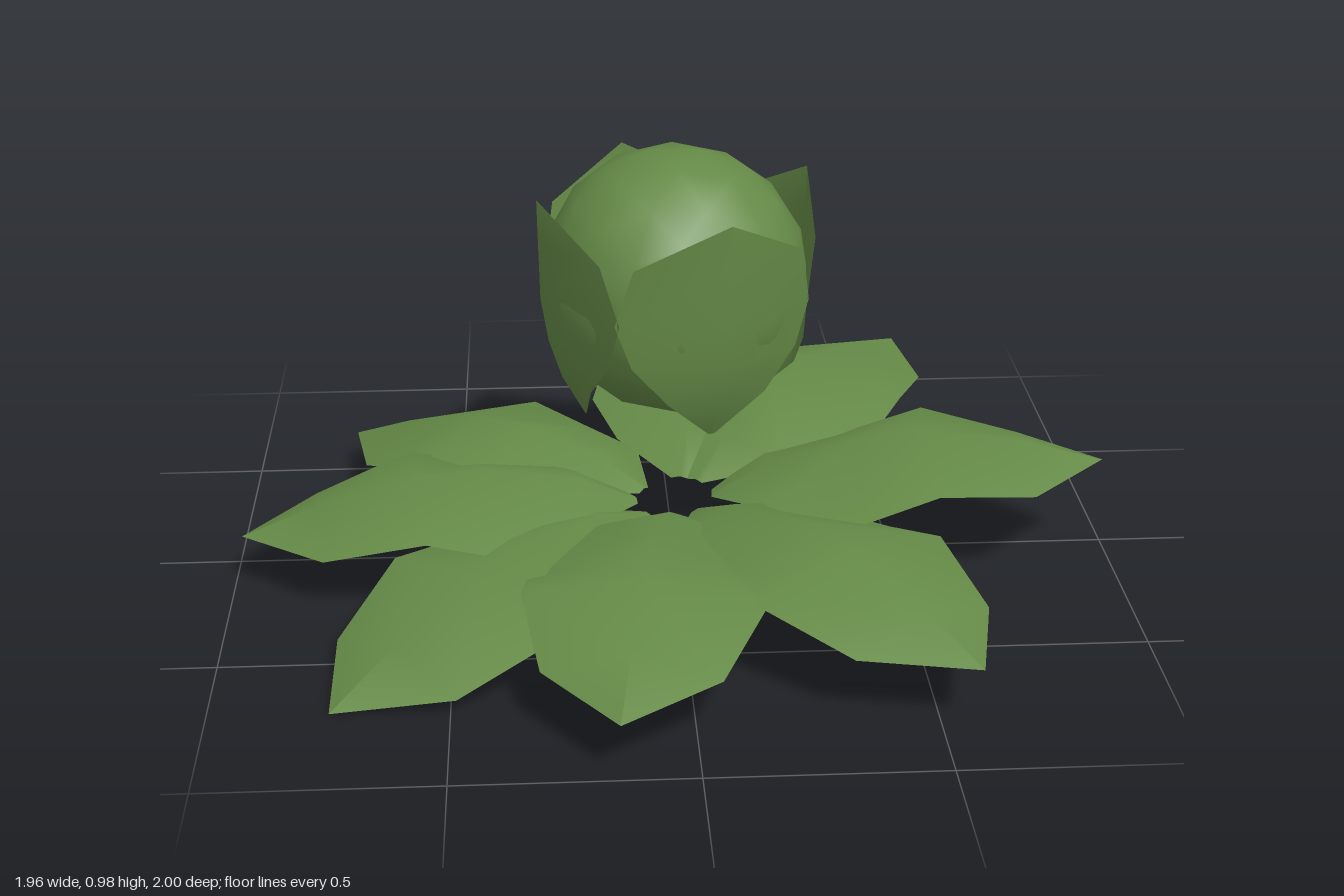
import * as THREE from 'three';

const leafGreen = new THREE.MeshStandardMaterial({ color: 0x658a47, side: THREE.DoubleSide });
leafGreen.name = 'leafGreen';

// Folded blade: each row holds a left edge, midrib and right edge point.
function blade(rows, place) {
  const points = [], faces = [];
  rows.forEach((row, i) => {
    for (const side of [-1, 0, 1]) points.push(...place(row, side));
    if (i === 0) return;
    for (let c = 0; c < 2; c++) {
      const a = (i - 1) * 3 + c, b = a + 3;
      faces.push(a, a + 1, b + 1, a, b + 1, b);
    }
  });
  const geometry = new THREE.BufferGeometry();
  geometry.setAttribute('position', new THREE.Float32BufferAttribute(points, 3));
  geometry.setIndex(faces);
  geometry.computeVertexNormals();
  return geometry;
}

// Leaf rows: distance from centre, half width, midrib height, edge drop
const LEAF = [
  [0.09, 0.02, 0.15, 0.005],
  [0.22, 0.17, 0.217, 0.04],
  [0.44, 0.27, 0.275, 0.095],
  [0.61, 0.262, 0.285, 0.05],
  [0.84, 0.187, 0.25, 0.055],
  [1.02, 0, 0.20, 0],
];

// Tip x, tip z, and tilt (rise per unit of length) of each leaf
const LEAVES = [
  [0.21, -1.00, 0], [0.61, -0.78, 0.01], [0.98, 0.06, 0.035], [0.58, 0.84, -0.065],
  [-0.16, 1.00, -0.075], [-0.75, 0.71, -0.195], [-0.98, 0.11, -0.08], [-0.76, -0.54, -0.115],
];

// Sepal rows: height, radius, half angle in degrees
const SEPAL = [
  [0.395, 0.215, 2],
  [0.49, 0.268, 25],
  [0.58, 0.298, 40],
  [0.68, 0.315, 46],
  [0.81, 0.318, 38],
  [0.907, 0.32, 0],
];

export function createModel() {
  const model = new THREE.Group();
  model.name = 'budPlant';
  const add = (geometry, name, parent) => {
    const mesh = new THREE.Mesh(geometry, leafGreen);
    mesh.name = name;
    parent.add(mesh);
    return mesh;
  };

  // Round bud
  add(new THREE.IcosahedronGeometry(0.3, 2), 'bud', model).position.set(0, 0.685, 0.015);

  // Four sepals wrapped around the bud
  const sepals = new THREE.Group();
  sepals.name = 'sepals';
  sepals.position.z = 0.02;
  model.add(sepals);
  const sepal = blade(SEPAL, ([y, r, half], side) => {
    const a = THREE.MathUtils.degToRad(half * side);
    return [Math.sin(a) * r, y, Math.cos(a) * r];
  });
  for (let k = 0; k < 4; k++) {
    add(sepal, 'sepal', sepals).rotation.y = THREE.MathUtils.degToRad(19) + k * Math.PI / 2;
  }

  // Ring of ground leaves, each with its own length and tilt
  const leaves = new THREE.Group();
  leaves.name = 'leaves';
  model.add(leaves);
  for (const [tipX, tipZ, tilt] of LEAVES) {
    const scale = Math.hypot(tipX, tipZ) / 1.02;
    const leaf = blade(LEAF, ([d, w, y, drop], side) =>
      [side * w * scale, y + tilt * d - Math.abs(side) * drop, d * scale]);
    add(leaf, 'leaf', leaves).rotation.y = Math.atan2(tipX, tipZ);
  }
  return model;
}
